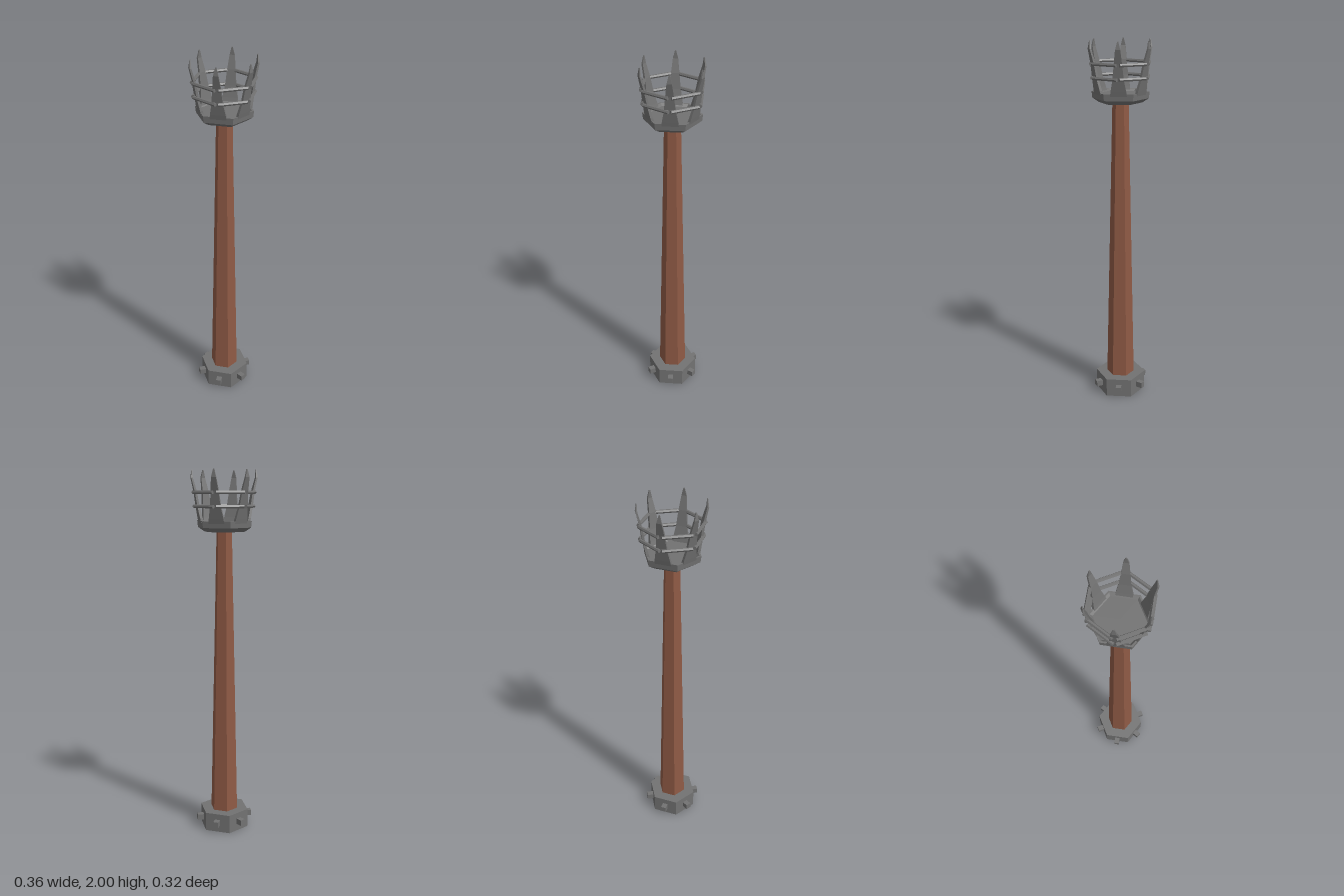
import * as THREE from 'three';

const metal = new THREE.MeshStandardMaterial({ color: 0x727272, flatShading: true });
const wood = new THREE.MeshStandardMaterial({ color: 0x8f5a45, flatShading: true });

function part(name, geometry, material, parent) {
  const mesh = new THREE.Mesh(geometry, material);
  mesh.name = name;
  parent.add(mesh);
  return mesh;
}

// Blade bent along rows of [height, radius from the axis, half width, thickness]
function prongGeometry() {
  const rows = [
    [1.71, 0.120, 0.045, 0.016],
    [1.75, 0.130, 0.040, 0.014],
    [1.81, 0.143, 0.029, 0.012],
    [1.89, 0.156, 0.021, 0.011],
    [1.96, 0.174, 0.013, 0.009],
    [2.00, 0.172, 0.003, 0.004],
  ];
  const geometry = new THREE.BoxGeometry(1, 1, 1, 1, rows.length - 1, 1);
  const p = geometry.attributes.position;
  for (let i = 0; i < p.count; i++) {
    const [y, r, w, t] = rows[Math.round((p.getY(i) + 0.5) * (rows.length - 1))];
    p.setXYZ(i, p.getX(i) * 2 * w, y, r + p.getZ(i) * t);
  }
  geometry.computeVertexNormals();
  return geometry;
}

export function createModel() {
  const model = new THREE.Group();
  model.name = 'standingBrazier';

  // Hexagonal foot and tapered post
  part('foot', new THREE.CylinderGeometry(0.14, 0.14, 0.105, 6), metal, model).position.y = 0.0525;
  part('post', new THREE.CylinderGeometry(0.043, 0.078, 1.6, 6), wood, model).position.y = 0.89;

  // Shallow hexagonal bowl
  const profile = [[0, 1.68], [0.115, 1.68], [0.149, 1.702], [0.153, 1.737], [0.143, 1.737], [0.13, 1.725], [0, 1.725]];
  part('bowl', new THREE.LatheGeometry(profile.map(([r, y]) => new THREE.Vector2(r, y)), 6), metal, model);

  // Studs and prongs sit on the six flat sides
  const stud = new THREE.BoxGeometry(0.03, 0.032, 0.06);
  const prong = prongGeometry();
  const bar = new THREE.CylinderGeometry(0.0095, 0.0095, 0.15, 6).rotateZ(Math.PI / 2);
  for (let i = 0; i < 6; i++) {
    const side = new THREE.Group();
    side.name = 'side' + (i + 1);
    side.rotation.y = Math.PI / 6 + (i * Math.PI) / 3;
    part('stud', stud, metal, side).position.set(0, 0.056, 0.127);
    part('prong', prong, metal, side);
    model.add(side);

    // Two hoops of straight bars linking neighbouring prongs
    const span = new THREE.Group();
    span.name = 'hoopSpan' + (i + 1);
    span.rotation.y = (i * Math.PI) / 3;
    part('lowerBar', bar, metal, span).position.set(0, 1.812, 0.142);
    part('upperBar', bar, metal, span).position.set(0, 1.884, 0.147);
    model.add(span);
  }
  return model;
}
